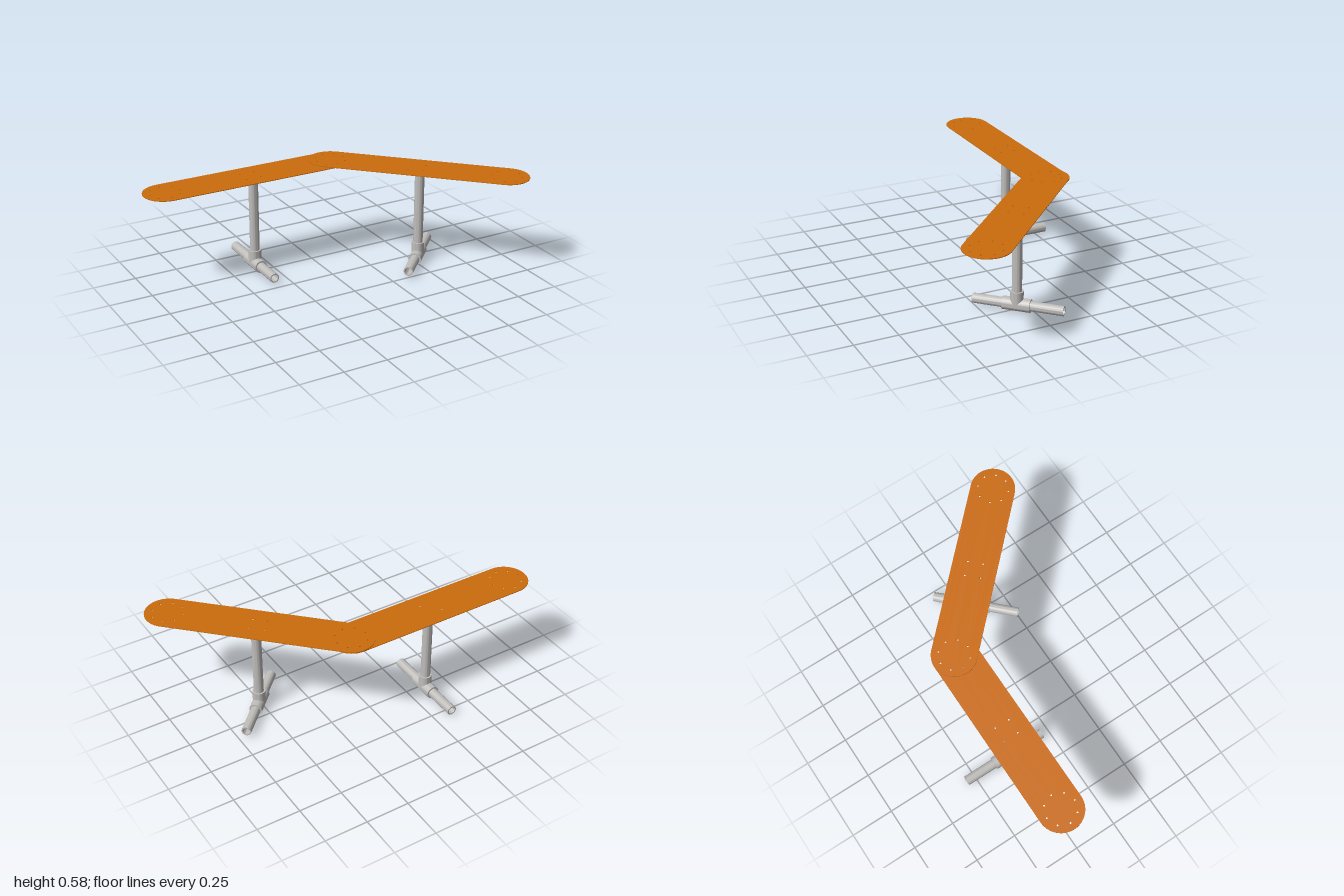
import * as THREE from 'three';
import { toCreasedNormals } from 'three/addons/utils/BufferGeometryUtils.js';

const LENGTH = 1.023, WIDTH_R = 0.127;    // board: distance between end centres, end radius
const BOARD_Y = 0.57, BOARD_T = 0.004;
const PIPE_R = 0.0275, BORE_R = 0.021, TEE_R = 0.0365;
const FOOT_Y = 0.0368, POST_X = 0.527;

// Hollow tube standing on y = 0
function tubeGeometry(outer, inner, length) {
  const profile = [[inner, length], [inner, 0], [outer, 0], [outer, length], [inner, length]];
  return new THREE.LatheGeometry(profile.map(([x, y]) => new THREE.Vector2(x, y)), 32);
}

// Round-ended board with a ring of holes at each end and four in the middle
function boardGeometry() {
  const shape = new THREE.Shape();
  shape.absarc(LENGTH, 0, WIDTH_R, -Math.PI / 2, Math.PI / 2);
  shape.absarc(0, 0, WIDTH_R, Math.PI / 2, Math.PI * 1.5);
  shape.closePath();
  const drill = (x, y) => {
    const hole = new THREE.Path();
    hole.absarc(x, y, 0.005, 0, Math.PI * 2, true);
    shape.holes.push(hole);
  };
  for (const cx of [0, LENGTH]) {
    for (let i = 0; i < 8; i++) {
      const a = i * Math.PI / 4;
      drill(cx + 0.088 * Math.cos(a), 0.088 * Math.sin(a));
    }
  }
  for (const sx of [-1, 1]) for (const sy of [-1, 1]) drill(LENGTH / 2 + sx * 0.043, sy * 0.043);
  const geometry = new THREE.ExtrudeGeometry(shape, { depth: BOARD_T, bevelEnabled: false, curveSegments: 20 });
  return geometry.rotateX(-Math.PI / 2);
}

// Upright branch of the tee, its lower rim cut to sit on the sleeve
function branchGeometry() {
  const geometry = tubeGeometry(TEE_R, PIPE_R, 0.08);
  const p = geometry.attributes.position;
  for (let i = 0; i < p.count; i++) {
    if (p.getY(i) < 0.001) p.setY(i, Math.sqrt(Math.max(0, TEE_R ** 2 - p.getX(i) ** 2)));
  }
  return geometry;
}

export function createModel() {
  const orange = new THREE.MeshStandardMaterial({ color: 0xcc6c0c });
  orange.name = 'orange board';
  const grey = new THREE.MeshStandardMaterial({ color: 0xc0bebb });
  grey.name = 'grey pipe';

  const add = (parent, name, geometry, material, x, y, z) => {
    const mesh = new THREE.Mesh(geometry, material);
    mesh.name = name;
    mesh.position.set(x, y, z);
    parent.add(mesh);
  };

  const board = boardGeometry();
  const post = toCreasedNormals(tubeGeometry(PIPE_R, BORE_R, BOARD_Y - FOOT_Y - 0.04), 0.6);
  const foot = toCreasedNormals(tubeGeometry(PIPE_R, BORE_R, 0.509).rotateX(Math.PI / 2), 0.6);
  const sleeve = toCreasedNormals(tubeGeometry(TEE_R, PIPE_R, 0.156).rotateX(Math.PI / 2), 0.6);
  const branch = toCreasedNormals(branchGeometry(), 0.6);

  // One board on its own pipe stand
  const makeSection = (name) => {
    const section = new THREE.Group();
    section.name = name;
    add(section, 'board', board, orange, 0, BOARD_Y, 0);
    const stand = new THREE.Group();
    stand.name = 'pipeStand';
    stand.position.x = POST_X;
    add(stand, 'post', post, grey, 0, FOOT_Y + 0.04, 0);
    add(stand, 'footPipe', foot, grey, 0, FOOT_Y, -0.262);
    add(stand, 'teeSleeve', sleeve, grey, 0, FOOT_Y, -0.078);
    add(stand, 'teeBranch', branch, grey, 0, FOOT_Y, 0);
    section.add(stand);
    return section;
  };

  const model = new THREE.Group();
  model.name = 'angledBench';

  const straight = makeSection('straightSection');
  straight.position.set(-0.873, 0, -0.294);

  // Second section overlaps the end of the first and turns 45 degrees forward
  const angled = makeSection('angledSection');
  angled.position.set(0.15, BOARD_T, -0.294);
  angled.rotation.y = -Math.PI / 4;

  model.add(straight, angled);
  return model;
}
